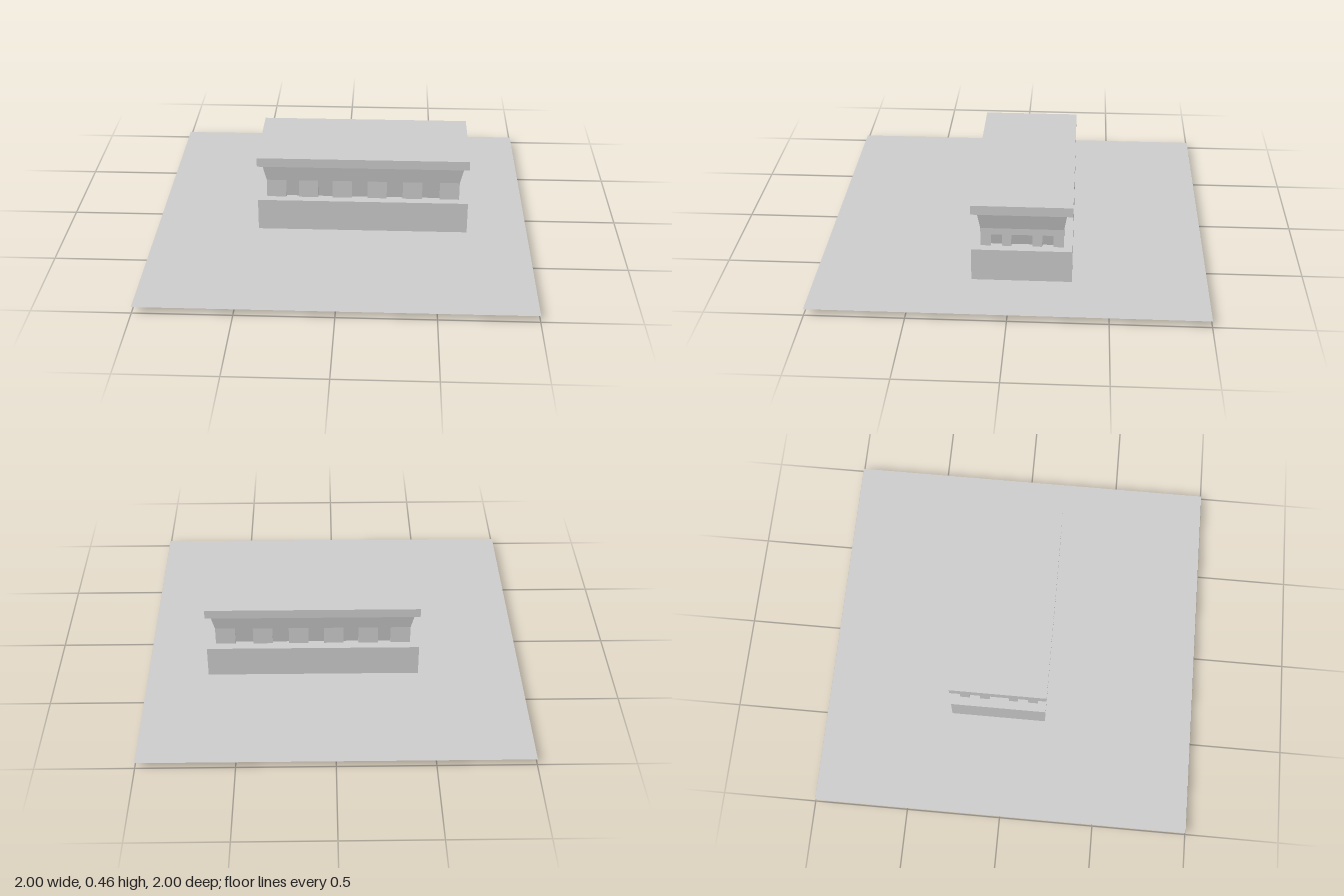
import * as THREE from 'three';

const material = new THREE.MeshStandardMaterial({ color: 0xcccccc, flatShading: true });
const groundMaterial = new THREE.MeshStandardMaterial({ color: 0xcccccc, side: THREE.DoubleSide });

// centre of the building on the plot
const CX = 0.113, CZ = -0.057;

// box given by its limits on each axis
function box(name, x0, x1, y0, y1, z0, z1) {
  const mesh = new THREE.Mesh(new THREE.BoxGeometry(x1 - x0, y1 - y0, z1 - z0), material);
  mesh.position.set((x0 + x1) / 2, (y0 + y1) / 2, (z0 + z1) / 2);
  mesh.name = name;
  return mesh;
}

export function createModel() {
  const model = new THREE.Group();
  model.name = 'pavilion';

  // flat plot, a little above the foot of the base
  const ground = new THREE.Mesh(new THREE.PlaneGeometry(2, 2).rotateX(-Math.PI / 2), groundMaterial);
  ground.position.y = 0.035;
  ground.name = 'ground';
  model.add(ground);

  const building = new THREE.Group();
  building.name = 'building';
  building.position.set(CX, 0, CZ);
  model.add(building);

  // solid base and overhanging roof slab
  building.add(box('base', -0.563, 0.563, 0, 0.21, -0.256, 0.256));
  building.add(box('roofSlab', -0.563, 0.563, 0.41, 0.46, -0.256, 0.256));

  // wall core, widening evenly toward the roof
  const coreGeometry = new THREE.BoxGeometry(1, 0.2, 1);
  const p = coreGeometry.attributes.position;
  for (let i = 0; i < p.count; i++) {
    const top = p.getY(i) > 0;
    p.setX(i, Math.sign(p.getX(i)) * (top ? 0.539 : 0.495));
    p.setZ(i, Math.sign(p.getZ(i)) * (top ? 0.227 : 0.195));
  }
  coreGeometry.computeVertexNormals();
  const core = new THREE.Mesh(coreGeometry, material);
  core.position.y = 0.31;
  core.name = 'flaredWall';
  building.add(core);

  const HX = 0.517, HZ = 0.211, Y0 = 0.21, Y1 = 0.31, LINTEL = 0.275;

  // piers along the front and back, running through the core
  for (const x of [-0.18, 0.002, 0.189, 0.379]) {
    building.add(box('longSidePier', x - CX - 0.052, x - CX + 0.052, Y0, Y1, -HZ, HZ));
  }

  for (const sx of [-1, 1]) {
    const spanX = (a, b) => (sx > 0 ? [a, b] : [-b, -a]);
    // corner piers and the slim piers of the short ends
    for (const sz of [-1, 1]) {
      const spanZ = (a, b) => (sz > 0 ? [a, b] : [-b, -a]);
      building.add(box('cornerPier', ...spanX(HX - 0.105, HX), Y0, Y1, ...spanZ(0.158, HZ)));
      building.add(box('endPier', ...spanX(HX - 0.06, HX), Y0, LINTEL, ...spanZ(0.053, 0.102)));
    }
    // lintel over the openings of the short ends
    building.add(box('endLintel', ...spanX(HX - 0.06, HX), LINTEL, Y1, -0.158, 0.158));
  }

  return model;
}
